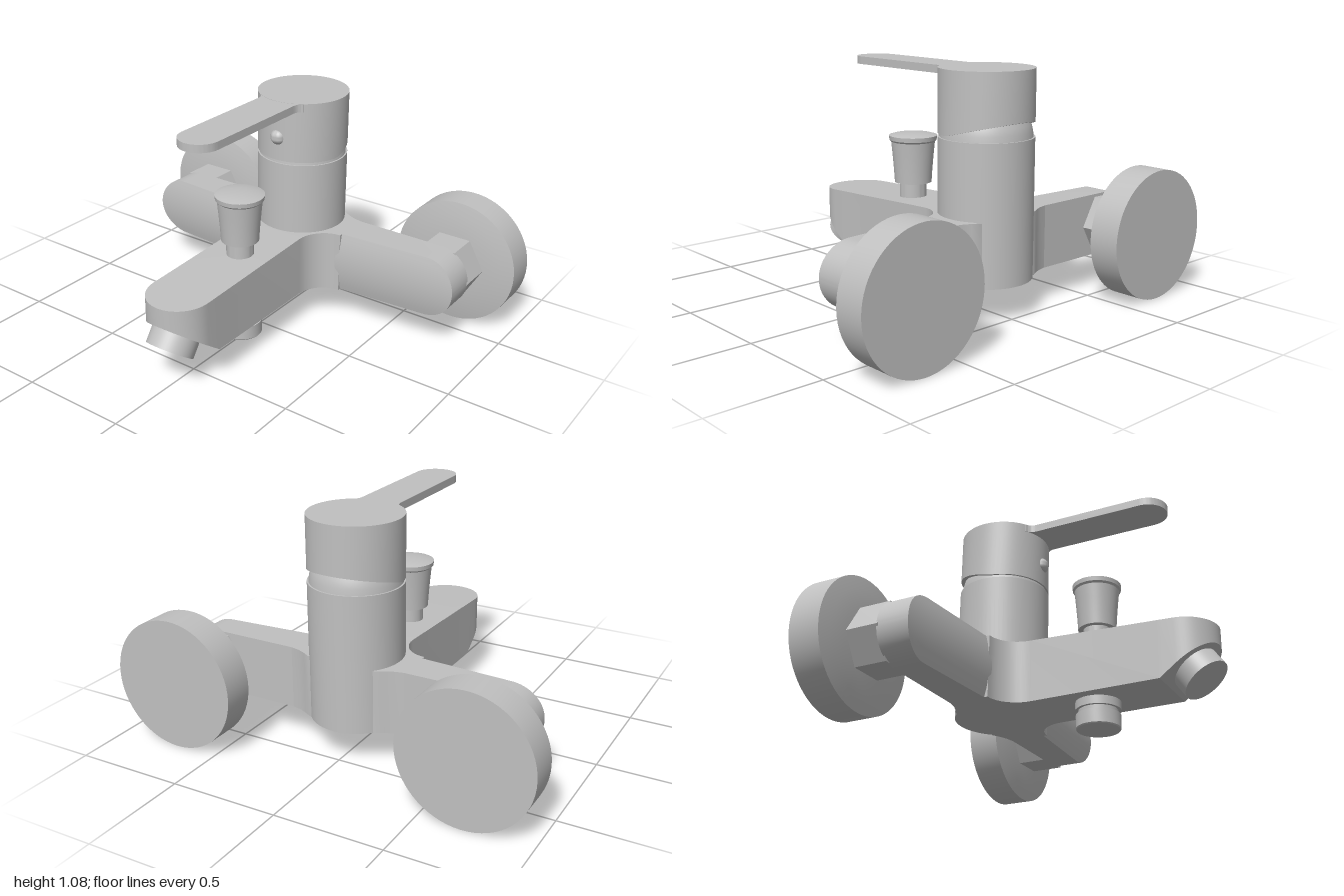
import * as THREE from 'three';
import { toCreasedNormals } from 'three/addons/utils/BufferGeometryUtils.js';

const chrome = new THREE.MeshStandardMaterial({ color: 0xc0c0c0 });
chrome.name = 'satin chrome';

const AXIS_Z = -0.33; // vertical axis of the mixer column
const KNOB_Z = 0.155; // axis of diverter knob and shower outlet

function part(name, geometry, x = 0, y = 0, z = 0) {
  const mesh = new THREE.Mesh(toCreasedNormals(geometry, 0.55), chrome);
  mesh.name = name;
  mesh.position.set(x, y, z);
  return mesh;
}

// Turned shape from [radius, height] pairs, bottom to top
function turned(profile, sides = 48) {
  return new THREE.LatheGeometry(profile.map(([r, y]) => new THREE.Vector2(r, y)), sides);
}

// Closed skin over equal-length rings, counter-clockwise about the loft direction
function loft(rings) {
  const n = rings[0].length, last = (rings.length - 1) * n, index = [];
  for (let i = 0; i < rings.length - 1; i++) {
    for (let j = 0; j < n; j++) {
      const k = (j + 1) % n, a = i * n;
      index.push(a + j, a + k, a + n + k, a + j, a + n + k, a + n + j);
    }
  }
  for (let j = 1; j < n - 1; j++) {
    index.push(0, j + 1, j, last, last + j, last + j + 1);
  }
  const geometry = new THREE.BufferGeometry();
  geometry.setAttribute('position', new THREE.Float32BufferAttribute(rings.flat(2), 3));
  geometry.setIndex(index);
  return geometry;
}

// Spout with filleted root, rounded tip and slanted underside
function spoutGeometry() {
  const stations = [[-0.47, 0.165], [-0.45, 0.2], [-0.435, 0.235], [-0.425, 0.28]]; // [z, half width]
  for (let i = 0; i <= 10; i++) {
    const a = (i / 10) * Math.PI / 2;
    stations.push([-0.1 - 0.14 * Math.cos(a), 0.28 - 0.13 * Math.sin(a)]);
  }
  stations.push([0.5, 0.15]);
  for (let i = 0; i <= 14; i++) {
    const a = (i / 14) * Math.PI / 2;
    stations.push([0.57 + 0.15 * Math.sin(a), Math.max(0.002, 0.15 * Math.cos(a))]);
  }
  return loft(stations.map(([z, w]) => {
    const top = 0.45 - 0.035 * Math.max(0, (z + 0.1) / 0.82);
    const low = 0.16 + 0.75 * Math.max(0, z - 0.5);
    return [[-w, low, z], [w, low, z], [w, top, z], [-w, top, z]];
  }));
}

// Cross bar with round ends and a gently bulging, tapering front
function crossBarGeometry() {
  const half = [];
  for (let i = 0; i <= 14; i++) {
    const a = (i / 14) * Math.PI / 2;
    half.push([0.705 + 0.145 * Math.sin(a), Math.max(0.002, 0.145 * Math.cos(a))]);
  }
  const inner = [0.28, 0.145];
  const stations = [...[inner, ...half].reverse().map(([x, h]) => [-x, h]), inner, ...half];
  return loft(stations.map(([x, h]) => {
    const front = -0.257 - 0.037 * Math.max(0, (Math.abs(x) - 0.28) / 0.57);
    const ring = [];
    for (let i = 0; i <= 10; i++) {
      const y = h * (1 - i / 5);
      ring.push([x, 0.305 + y, front + 0.02 * (1 - (y / 0.145) ** 2)]);
    }
    ring.push([x, 0.305 - h, -0.425], [x, 0.305 + h, -0.425]);
    return ring;
  }));
}

// Handle cap: cylinder whose underside rises toward the back
function handleCapGeometry() {
  const geometry = new THREE.CylinderGeometry(0.21, 0.21, 0.28, 64);
  geometry.translate(0, 0.94, AXIS_Z);
  const p = geometry.attributes.position;
  for (let i = 0; i < p.count; i++) {
    if (p.getY(i) < 0.9) p.setY(i, 0.8 + 0.26 * Math.max(0, -0.3 - p.getZ(i)));
  }
  return geometry;
}

// Flat lever with a round tip and a small flare at the cap
function leverGeometry() {
  const s = new THREE.Shape();
  s.moveTo(-0.12, 0.2);
  s.lineTo(-0.12, 0.155);
  s.quadraticCurveTo(-0.095, 0.145, -0.095, 0.11);
  s.lineTo(-0.095, -0.415);
  s.absarc(0, -0.415, 0.095, Math.PI, Math.PI * 2, false);
  s.lineTo(0.095, 0.11);
  s.quadraticCurveTo(0.095, 0.145, 0.12, 0.155);
  s.lineTo(0.12, 0.2);
  const geometry = new THREE.ExtrudeGeometry(s, { depth: 0.036, bevelEnabled: false, curveSegments: 20 });
  return geometry.rotateX(-Math.PI / 2);
}

export function createModel() {
  const model = new THREE.Group();
  model.name = 'bathMixerTap';

  // Body
  model.add(part('spout', spoutGeometry()));
  model.add(part('crossBar', crossBarGeometry()));
  model.add(part('column', turned([[0, 0.16], [0.21, 0.16], [0.21, 0.785], [0, 0.785]], 64), 0, 0, AXIS_Z));
  model.add(part('cartridgeDome',
    turned([[0.203, 0.78], [0.2, 0.81], [0.193, 0.84], [0.18, 0.87], [0, 0.87]], 64), 0, 0, AXIS_Z));

  // Handle
  model.add(part('handleCap', handleCapGeometry()));
  model.add(part('lever', leverGeometry(), 0, 1.043, 0));
  model.add(part('handleButton', new THREE.SphereGeometry(0.037, 24, 16), 0, 0.908, -0.135));

  // Diverter knob on top of the spout
  model.add(part('diverterKnob', turned([
    [0.063, 0.4], [0.063, 0.508], [0.086, 0.508], [0.09, 0.57], [0.096, 0.64], [0.102, 0.7],
    [0.11, 0.708], [0.112, 0.728], [0.09, 0.734], [0.05, 0.739], [0, 0.741],
  ]), 0, 0, KNOB_Z));

  // Shower outlet below the spout
  model.add(part('showerOutlet', turned([
    [0, 0.035], [0.095, 0.035], [0.099, 0.04], [0.099, 0.102], [0.088, 0.102],
    [0.088, 0.122], [0.101, 0.122], [0.101, 0.18],
  ]), 0, 0, KNOB_Z));

  // Slanted aerator under the spout tip
  const aerator = part('aerator', new THREE.CylinderGeometry(0.108, 0.108, 0.16, 48), 0, 0.242, 0.606);
  aerator.rotation.x = -0.62;
  model.add(aerator);

  // Wall connections
  for (const [side, s] of [['left', 1], ['right', -1]]) {
    const nut = new THREE.CylinderGeometry(0.155, 0.155, 0.165, 6, 1, false, Math.PI / 6);
    model.add(part(side + 'HexNut', nut.rotateX(Math.PI / 2), s * 0.7, 0.302, -0.5));
    const flange = turned([
      [0, -0.738], [0.3, -0.738], [0.3, -0.592], [0.24, -0.58], [0.16, -0.571], [0, -0.568],
    ], 64);
    model.add(part(side + 'WallFlange', flange.rotateX(Math.PI / 2), s * 0.7, 0.3, 0));
  }
  return model;
}
